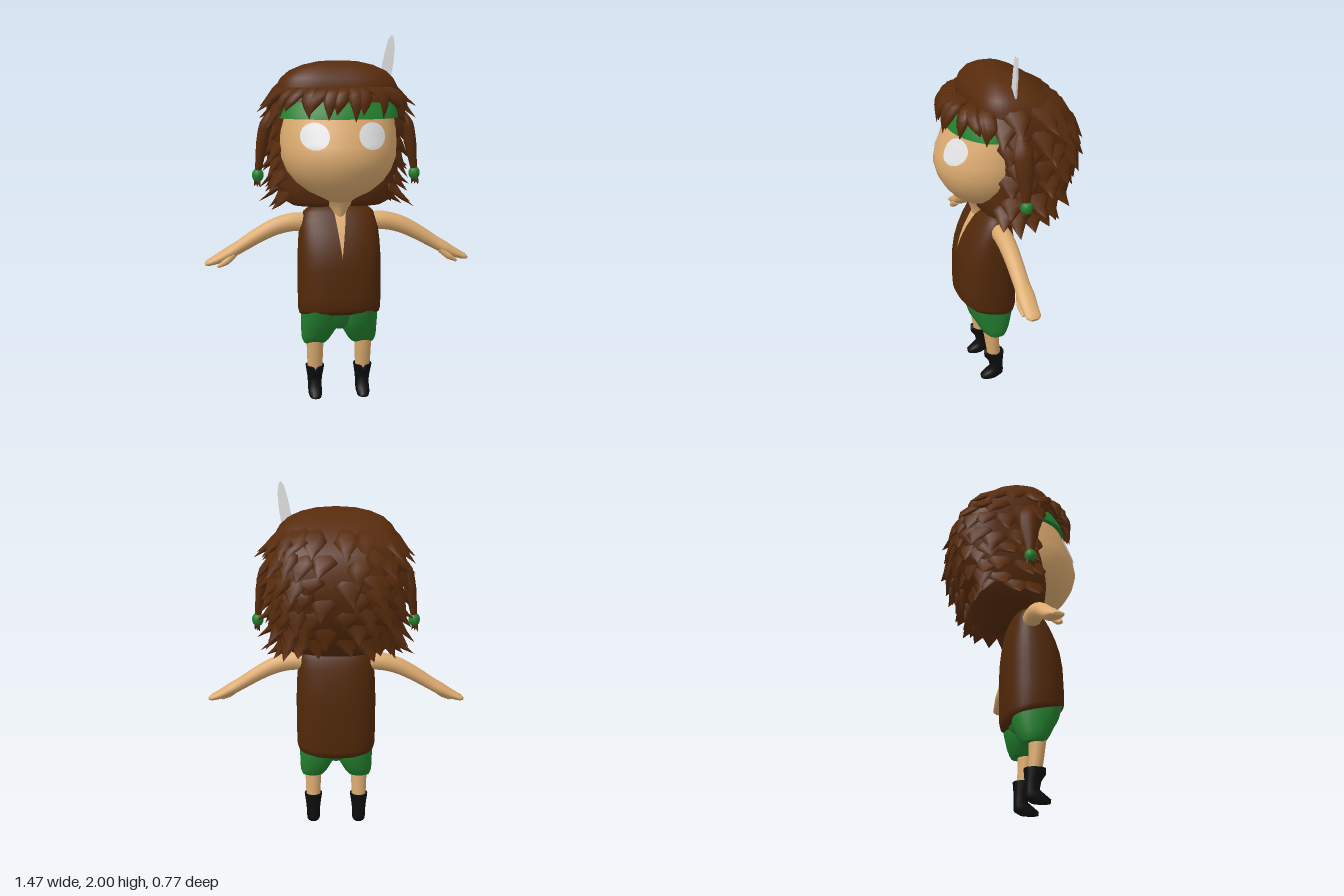
import * as THREE from 'three';
import { mergeGeometries } from 'three/addons/utils/BufferGeometryUtils.js';

const V = (x, y, z) => new THREE.Vector3(x, y, z);
const mat = (name, color, side = THREE.FrontSide) => {
  const m = new THREE.MeshStandardMaterial({ color, side });
  m.name = name;
  return m;
};

// Seeded jitter in -1..1
let seed = 7;
const jitter = () => {
  seed = (seed * 16807) % 2147483647;
  return (seed / 2147483647) * 2 - 1;
};

// Skin a list of closed rings (counterclockwise about the direction of travel)
function loft(rings) {
  const n = rings[0].length, pos = [], idx = [];
  rings.forEach(r => r.forEach(p => pos.push(p.x, p.y, p.z)));
  for (let i = 0; i < rings.length - 1; i++) for (let j = 0; j < n; j++) {
    const k = (j + 1) % n, a = i * n + j, b = i * n + k;
    idx.push(a, b, b + n, a, b + n, a + n);
  }
  [rings[0], rings[rings.length - 1]].forEach((r, end) => {
    const base = pos.length / 3, c = V(0, 0, 0);
    r.forEach(p => { pos.push(p.x, p.y, p.z); c.addScaledVector(p, 1 / n); });
    pos.push(c.x, c.y, c.z);
    for (let j = 0; j < n; j++) {
      const k = (j + 1) % n;
      idx.push(base + n, base + (end ? j : k), base + (end ? k : j));
    }
  });
  const g = new THREE.BufferGeometry();
  g.setAttribute('position', new THREE.Float32BufferAttribute(pos, 3));
  g.setIndex(idx);
  g.computeVertexNormals();
  return g;
}

// Stacked rounded sections; each row is [y, half width, front z, back z, centre x]
const power = (v, n) => Math.sign(v) * Math.abs(v) ** (2 / n);
function around([y, rx, zf, zb, cx = 0], th, n) {
  return V(cx + rx * power(Math.sin(th), n), y, (zf + zb) / 2 + (zf - zb) / 2 * power(Math.cos(th), n));
}
function stack(rows, n = 2, sides = 32) {
  return loft(rows.map(r => Array.from({ length: sides }, (_, j) => around(r, j / sides * Math.PI * 2, n))));
}
function rowAt(rows, y) {
  let i = 0;
  while (i < rows.length - 2 && rows[i + 1][0] < y) i++;
  const a = rows[i], b = rows[i + 1], t = (y - a[0]) / (b[0] - a[0]);
  return a.map((v, k) => v + (b[k] - v) * t);
}

// Tube with flattened sections; side widths ra, thicknesses rb
function sweep(points, ra, rb, side, sides = 6, steps = 6) {
  const curve = new THREE.CatmullRomCurve3(points), rings = [];
  const pick = (arr, t) => {
    const f = t * (arr.length - 1), i = Math.min(Math.floor(f), arr.length - 2);
    return arr[i] + (arr[i + 1] - arr[i]) * (f - i);
  };
  for (let i = 0; i <= steps; i++) {
    const t = i / steps, p = curve.getPoint(t), n = curve.getTangent(t).cross(side).normalize();
    rings.push(Array.from({ length: sides }, (_, j) => {
      const a = j / sides * Math.PI * 2;
      return p.clone().addScaledVector(side, pick(ra, t) * Math.cos(a)).addScaledVector(n, pick(rb, t) * Math.sin(a));
    }));
  }
  return loft(rings);
}

// Lay a flat patch over the front of a stacked form
function drape(geo, rows, n, off) {
  const p = geo.attributes.position;
  for (let i = 0; i < p.count; i++) {
    const [, rx, zf, zb] = rowAt(rows, p.getY(i));
    const q = Math.max(0, 1 - Math.abs(p.getX(i) / rx) ** n) ** (1 / n);
    p.setZ(i, (zf + zb) / 2 + (zf - zb) / 2 * q + off);
  }
  geo.computeVertexNormals();
  return geo;
}

const HEAD = [[1.1, .06, .2, .02], [1.13, .1, .25, 0], [1.17, .18, .305, -.05], [1.22, .245, .345, -.12],
  [1.28, .288, .38, -.17], [1.35, .314, .398, -.2], [1.42, .32, .385, -.22], [1.5, .32, .35, -.22],
  [1.58, .312, .312, -.2], [1.64, .295, .28, -.15], [1.7, .2, .2, -.05]];
const TORSO = [[.47, .19, .26, 0], [.485, .22, .285, -.02], [.51, .227, .3, -.028], [.6, .229, .303, -.03],
  [.75, .229, .298, -.03], [.83, .227, .285, -.026], [.9, .223, .262, -.018], [.96, .217, .235, -.008],
  [1.01, .209, .205, .003], [1.05, .192, .178, .02], [1.075, .162, .155, .04], [1.085, .11, .13, .06]];
const HAIR = [[1.062, .14, .08, -.08], [1.08, .25, .15, -.12], [1.11, .3, .19, -.16], [1.2, .335, .2, -.235],
  [1.3, .35, .2, -.29], [1.42, .357, .2, -.33], [1.55, .36, .21, -.335], [1.65, .352, .235, -.285],
  [1.72, .332, .24, -.22], [1.77, .305, .22, -.155], [1.81, .26, .19, -.09], [1.84, .19, .155, -.03],
  [1.858, .11, .12, .03], [1.863, .04, .1, .05]];

export function createModel() {
  const model = new THREE.Group();
  const skin = mat('skin', 0xdcab70), hair = mat('hair brown', 0x572b0c), vest = mat('vest brown', 0x512809);
  const green = mat('cloth green', 0x24802f), black = mat('boot black', 0x0d0d0d);
  const white = mat('white', 0xe4e4e4, THREE.DoubleSide);
  const add = (name, geo, material) => {
    const m = new THREE.Mesh(geo, material);
    m.name = name;
    model.add(m);
  };

  // Head and neck
  add('head', stack(HEAD, 2, 40), skin);
  add('neck', stack([[1.0, .035, .19, .06], [1.07, .05, .205, .05], [1.12, .085, .225, .04], [1.17, .12, .26, .04]], 2, 20), skin);
  add('headband', stack([[1.56, .324, .331, -.1], [1.6, .318, .318, -.1], [1.65, .3, .288, -.1]], 2, 40), green);

  // Vest with the hem lower at the back, and its open neckline
  const body = stack(TORSO, 2.6, 40), bp = body.attributes.position;
  for (let i = 0; i < bp.count; i++) {
    const y = bp.getY(i);
    if (y < .6) bp.setY(i, y + (bp.getZ(i) - .14) * 1.8 * (.6 - y));
  }
  body.computeVertexNormals();
  add('vest', body, vest);
  const opening = new THREE.PlaneGeometry(1, .26, 4, 14).translate(0, .95, 0), op = opening.attributes.position;
  for (let i = 0; i < op.count; i++) op.setX(i, op.getX(i) * .07 * (op.getY(i) - .82) / .26);
  add('neckOpening', drape(opening, TORSO, 2.6, .005), skin);

  // Seat of the shorts between the two legs
  add('shortsSeat', stack([[.395, .025, .17, .07], [.41, .06, .2, .04], [.44, .1, .235, .015], [.52, .11, .27, 0]], 2.3, 24), green);

  for (const s of [1, -1]) {
    const label = s > 0 ? 'left' : 'right';
    // Eyes
    const eye = new THREE.RingGeometry(0, 1, 28, 5).scale(.074, .07, 1).translate(s * .15, 1.475, 0);
    add(label + 'Eye', drape(eye, HEAD, 2, .006), white);

    // Arm, hand and thumb
    const arm = [[.13, .985], [.24, .992], [.34, .97], [.44, .922], [.54, .862], [.6, .828], [.66, .797], [.715, .775], [.732, .768]];
    add(label + 'Arm', sweep(arm.map(([x, y]) => V(s * x, y, .1)),
      [.05, .05, .048, .045, .043, .049, .045, .04, .022], [.05, .052, .048, .042, .036, .034, .027, .017, .008],
      V(0, 0, 1), 16, 32), skin);
    add(label + 'Thumb', sweep([V(s * .575, .825, .12), V(s * .62, .785, .133), V(s * .665, .757, .135)],
      [.025, .022, .008], [.022, .019, .007], V(0, 0, 1), 10, 8), skin);

    // Shorts, leg and boot
    add(label + 'ShortsLeg', stack([[.31, .062, .165, .055, s * .135], [.33, .076, .185, .043, s * .13],
      [.36, .087, .205, .03, s * .123], [.4, .1, .226, .018, s * .111], [.45, .107, .255, .006, s * .105],
      [.53, .105, .28, 0, s * .105]], 2.3, 28), green);
    add(label + 'Leg', stack([[.14, .04, .155, .08, s * .135], [.24, .045, .17, .09, s * .135],
      [.34, .048, .185, .09, s * .135]], 2, 18), skin);
    const boot = stack([[0, .032, .2, .1, s * .135], [.018, .038, .203, .068, s * .135],
      [.04, .039, .175, .066, s * .135], [.065, .038, .143, .068, s * .135], [.11, .042, .152, .068, s * .135],
      [.175, .052, .178, .063, s * .135]], 2.3, 20), p = boot.attributes.position;
    for (let i = 0; i < p.count; i++) // notch at the front of the cuff
      if (p.getY(i) > .17 && p.getZ(i) > .14 && Math.abs(p.getX(i) - s * .135) < .012) p.setY(i, .148);
    boot.computeVertexNormals();
    add(label + 'Boot', boot, black);

    // Braid with bead and loose ends
    add(label + 'Braid', sweep([V(s * .34, 1.6, .045), V(s * .388, 1.52, .042), V(s * .41, 1.42, .04), V(s * .434, 1.27, .04)],
      [.025, .055, .05, .02], [.02, .036, .034, .018], V(0, 0, 1), 10, 12), hair);
    add(label + 'Bead', new THREE.SphereGeometry(1, 14, 10).scale(.032, .038, .032).translate(s * .436, 1.245, .04), green);
    add(label + 'BraidEnds', mergeGeometries([-1, 0, 1].map(k => sweep(
      [V(s * .438, 1.235, .04), V(s * .44 + k * .008, 1.21, .04 + k * .014), V(s * .44 + k * .015, 1.18, .04 + k * .022)],
      [.014, .014, 0], [.014, .012, 0], V(0, 0, 1), 5, 3))), hair);
  }

  // Hair mass, then rows of pointed locks round the sides and back
  add('hair', stack(HAIR, 3, 48), hair);
  const locks = [];
  [1.68, 1.59, 1.5, 1.41, 1.32, 1.23, 1.15].forEach((y0, r) => {
    const count = 14;
    for (let i = 0; i < count; i++) {
      const th = 1.15 + (i + (r % 2) * .5) / (count - .5) * (Math.PI * 2 - 2.3);
      const y = y0 + jitter() * .025, out = V(Math.sin(th), 0, Math.cos(th)), side = V(out.z, 0, -out.x);
      const shell = h => around(rowAt(HAIR, h), th, 3);
      const flare = [.02, .03, .03, .03, .03, .04, .05][r] + [.07, .04, .02, .02, .03, .05, .07][r] * out.x ** 2;
      const root = shell(y + .07).addScaledVector(out, -.03);
      const mid = shell(y).addScaledVector(out, -.006);
      const tip = shell(y - .04).addScaledVector(out, flare + jitter() * .02).addScaledVector(side, jitter() * .035);
      tip.y = Math.max(1.06, y - .085 + jitter() * .02);
      locks.push(sweep([root, mid, tip], [.05, .075, 0], [.012, .024, 0], side, 6, 4));
    }
  });
  add('hairLocks', mergeGeometries(locks), hair);

  // Fringe over the headband
  add('fringeRoots', stack([[1.645, .298, .295, -.1], [1.68, .3, .275, -.1], [1.72, .285, .235, -.1]], 2.2, 32), hair);
  const fringe = [];
  for (let i = 0; i < 13; i++) {
    const a = -1.2 + i * .2 + jitter() * .07, lean = a * 1.08 + jitter() * .14;
    const low = (i % 2 ? 1.555 : 1.595) + jitter() * .015;
    const at = (ang, k, y) => V(Math.sin(ang) * .33 * k, y, .08 + Math.cos(ang) * .245 * k);
    fringe.push(sweep([at(a * .9, .72, 1.71), at(a * .95, .98, 1.7), at((a + lean) / 2, 1.13, 1.645), at(lean, 1.17 + jitter() * .03, low)],
      [.03, .043, .036, 0], [.015, .022, .017, 0], V(Math.cos(a), 0, -Math.sin(a)), 6, 8));
  }
  add('fringe', mergeGeometries(fringe), hair);

  // Feather
  const f = new THREE.Shape([[.275, 1.74], [.295, 1.77], [.31, 1.86], [.315, 1.94], [.308, 1.99], [.297, 2],
    [.28, 1.975], [.262, 1.91], [.245, 1.83], [.245, 1.79], [.265, 1.76]].map(([x, y]) => new THREE.Vector2(x, y)));
  add('feather', new THREE.ExtrudeGeometry(f, { depth: .01, bevelEnabled: false }).translate(0, 0, .045), white);
  return model;
}
